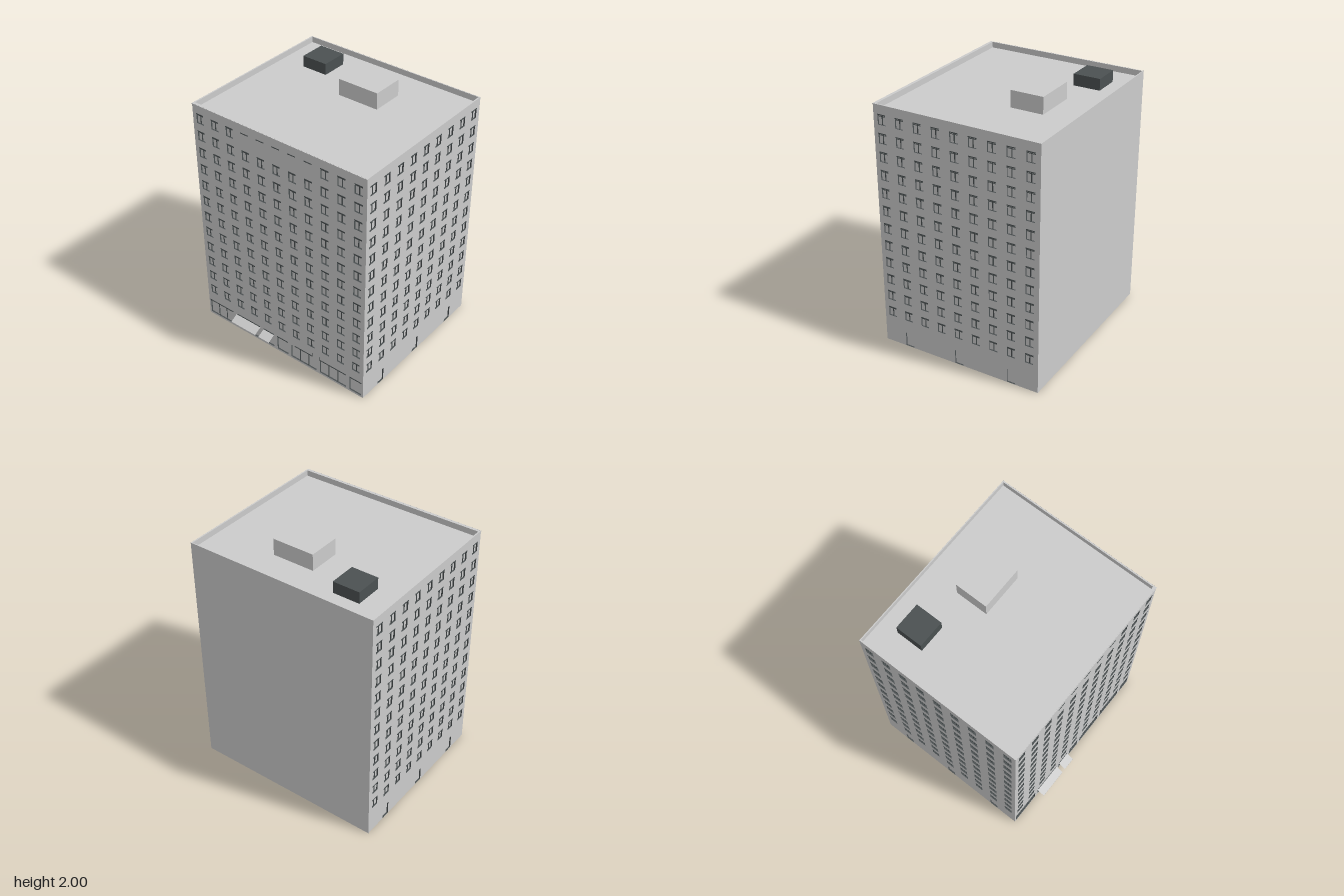
import * as THREE from 'three';
import { mergeGeometries } from 'three/addons/utils/BufferGeometryUtils.js';

const HX = 0.762, FRONT = 0.624, BACK = -0.687, TOP = 1.917, ROOF = 1.872;
const ROWS = 12, ROW_STEP = 0.1403, FIRST_ROW = 0.265;
const WIN_W = 0.066, WIN_H = 0.08, DEPTH = 0.012;

function rectPath(path, x0, y0, x1, y1) {
  path.moveTo(x0, y0);
  path.lineTo(x1, y0);
  path.lineTo(x1, y1);
  path.lineTo(x0, y1);
  path.closePath();
  return path;
}

// box given by its lower and upper limits
function block(x0, x1, y0, y1, z0, z1) {
  return new THREE.BoxGeometry(x1 - x0, y1 - y0, z1 - z0)
    .translate((x0 + x1) / 2, (y0 + y1) / 2, (z0 + z1) / 2);
}

// the four sides of an opening, without its outer and inner faces
function reveal(x0, x1, y0, y1) {
  const g = block(x0, x1, y0, y1, -DEPTH, 0);
  g.setIndex(Array.from(g.index.array).slice(0, 24));
  g.clearGroups();
  return g;
}

// flat infill at the back of an opening
function pane(x0, x1, y0, y1) {
  return new THREE.PlaneGeometry(x1 - x0, y1 - y0)
    .translate((x0 + x1) / 2, (y0 + y1) / 2, -DEPTH);
}

function createFacade(x0, x1, openings, wallMaterial, frameMaterial) {
  const facade = new THREE.Group();
  const shape = rectPath(new THREE.Shape(), x0, 0, x1, TOP);
  const panes = [], frames = [], lintels = [];

  for (const o of openings) {
    const [a, b, c, d] = o.rect;
    if (!o.blind) {
      shape.holes.push(rectPath(new THREE.Path(), a, c, b, d));
      panes.push(pane(a, b, c, d));
      frames.push(reveal(a, b, c, d));
    }
    // window bars: centre mullion and high transom
    if (o.kind === 'window') {
      const m = (a + b) / 2;
      if (!o.blind) {
        frames.push(block(m - 0.003, m + 0.003, c, d, -DEPTH, -0.007));
        frames.push(block(a, b, d - 0.02, d - 0.016, -DEPTH, -0.007));
      }
      lintels.push(block(a, b, d - 0.006, d, -0.003, 0.003));
    }
    // shopfront mullions and fascia strip
    if (o.kind === 'shopfront') {
      for (let i = 1; i < o.bays; i++) {
        const m = a + (b - a) * i / o.bays;
        frames.push(block(m - 0.002, m + 0.002, c, d, -DEPTH, -0.006));
      }
      const [s, t] = o.strip;
      lintels.push(block(s, t, d + 0.002, d + 0.009, -0.003, 0.003));
    }
  }

  const add = (name, geometry, material) => {
    const mesh = new THREE.Mesh(geometry, material);
    mesh.name = name;
    facade.add(mesh);
  };
  add('wall', new THREE.ShapeGeometry(shape), wallMaterial);
  add('panes', mergeGeometries(panes), wallMaterial);
  add('frames', mergeGeometries(frames), frameMaterial);
  add('lintels', mergeGeometries(lintels), frameMaterial);
  return facade;
}

function windowGrid(columns, isBlind) {
  const list = [];
  for (let r = 0; r < ROWS; r++) {
    const y = FIRST_ROW + r * ROW_STEP;
    columns.forEach((x, c) => list.push({
      kind: 'window',
      blind: isBlind(r, c),
      rect: [x - WIN_W / 2, x + WIN_W / 2, y - WIN_H / 2, y + WIN_H / 2],
    }));
  }
  return list;
}

export function createModel() {
  const model = new THREE.Group();
  model.name = 'officeBlock';
  const concrete = new THREE.MeshStandardMaterial({ color: 0xcccccc, side: THREE.DoubleSide });
  concrete.name = 'concrete grey';
  const metal = new THREE.MeshStandardMaterial({ color: 0x4b5152, side: THREE.DoubleSide });
  metal.name = 'dark metal';

  const add = (name, geometry, material = concrete) => {
    const mesh = new THREE.Mesh(geometry, material);
    mesh.name = name;
    model.add(mesh);
  };

  // front: eleven columns, the middle five of the top row are blind
  const frontColumns = Array.from({ length: 11 }, (_, i) => (i - 5) * 0.139);
  const frontOpenings = windowGrid(frontColumns, (r, c) => r === ROWS - 1 && c >= 3 && c <= 7);
  // left, right, bays, and the ends of the strip above
  const shops = [
    [-0.746, -0.503, 3, -0.75, -0.503], [-0.471, -0.227, 3, -0.46, -0.227],
    [-0.194, -0.086, 1, -0.19, -0.086], [-0.053, 0.053, 1, -0.053, 0.053],
    [0.085, 0.33, 3, 0.122, 0.293], [0.361, 0.606, 3, 0.361, 0.606],
    [0.64, 0.746, 1, 0.64, 0.746],
  ];
  for (const [a, b, bays, s, t] of shops) {
    frontOpenings.push({ kind: 'shopfront', bays, strip: [s, t], rect: [a, b, 0.015, 0.133] });
  }
  const front = createFacade(-HX, HX, frontOpenings, concrete, metal);
  front.name = 'frontFacade';
  front.position.z = FRONT;
  model.add(front);

  // sides: nine columns with three doors each
  for (const side of [1, -1]) {
    const columns = Array.from({ length: 9 }, (_, i) => -side * (0.557 - i * 0.1465));
    const openings = windowGrid(columns, () => false);
    for (const i of [1, 4, 7]) {
      openings.push({
        kind: 'door',
        rect: [columns[i] - 0.035, columns[i] + 0.035, 0.002, 0.114],
      });
    }
    const ends = [-side * FRONT, -side * BACK].sort((a, b) => a - b);
    const facade = createFacade(ends[0], ends[1], openings, concrete, metal);
    facade.name = side > 0 ? 'leftFacade' : 'rightFacade';
    facade.rotation.y = side * Math.PI / 2;
    facade.position.x = side * HX;
    model.add(facade);
  }

  // plain back wall
  add('backWall', new THREE.PlaneGeometry(2 * HX, TOP)
    .rotateY(Math.PI).translate(0, TOP / 2, BACK));

  // roof deck, the parapet around it and a slim front coping
  add('roof', new THREE.PlaneGeometry(2 * HX, FRONT - BACK)
    .rotateX(-Math.PI / 2).translate(0, ROOF, (FRONT + BACK) / 2));
  const e = 0.0005;
  const ring = rectPath(new THREE.Shape(), -HX + e, -FRONT + e, HX - e, -BACK - e);
  ring.holes.push(rectPath(new THREE.Path(), -0.751, -0.604, 0.751, 0.679));
  add('parapet', new THREE.ExtrudeGeometry(ring, { depth: TOP - ROOF, bevelEnabled: false })
    .rotateX(-Math.PI / 2).translate(0, ROOF, 0));
  add('coping', block(-HX, HX, TOP - 0.008, TOP, FRONT, FRONT + 0.004));

  // rooftop stair house and plant unit
  add('stairHouse', block(-0.083, 0.252, ROOF, 2, -0.414, -0.16));
  add('plantUnit', block(-0.551, -0.341, ROOF, 1.96, -0.54, -0.33), metal);

  // sloping awnings with a short hanging lip
  for (const [a, b] of [[-0.471, -0.225], [-0.192, -0.086]]) {
    const w = b - a, run = 0.063, drop = 0.034;
    const slope = new THREE.PlaneGeometry(w, Math.hypot(run, drop))
      .rotateX(-Math.atan2(run, drop))
      .translate((a + b) / 2, 0.133 - drop / 2, FRONT + run / 2);
    const lip = new THREE.PlaneGeometry(w, 0.009)
      .translate((a + b) / 2, 0.0945, FRONT + run);
    add('awning', mergeGeometries([slope, lip]));
  }

  // small upright fascia ends above the shops
  for (const x of [0.291, 0.362]) {
    add('fasciaEnd', block(x - 0.002, x + 0.002, 0.142, 0.17, FRONT, FRONT + 0.003), metal);
  }
  return model;
}
